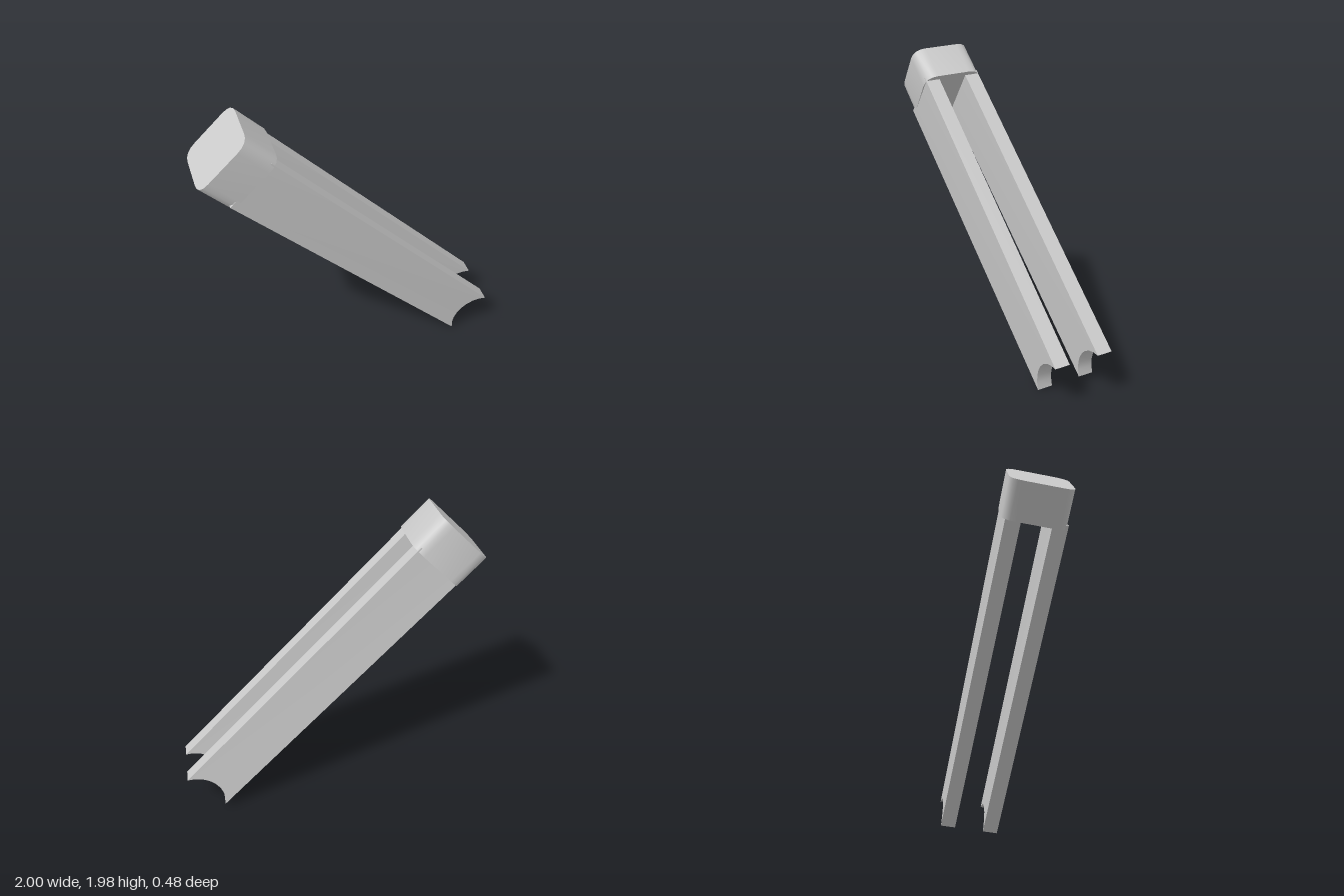
import * as THREE from 'three';
import { toCreasedNormals } from 'three/addons/utils/BufferGeometryUtils.js';

const material = new THREE.MeshStandardMaterial({ color: 0xcccccc });

// Rounded-square cap, extruded along the local x axis
function headGeometry() {
  const a = 0.205, b = 0.215, r = 0.09;
  const s = new THREE.Shape();
  s.moveTo(-a + r, -b);
  s.lineTo(a - r, -b);
  s.quadraticCurveTo(a, -b, a, -b + r);
  s.lineTo(a, b - r);
  s.quadraticCurveTo(a, b, a - r, b);
  s.lineTo(-a + r, b);
  s.quadraticCurveTo(-a, b, -a, b - r);
  s.lineTo(-a, -b + r);
  s.quadraticCurveTo(-a, -b, -a + r, -b);
  const g = new THREE.ExtrudeGeometry(s, { depth: 0.25, bevelEnabled: false, curveSegments: 4 });
  g.rotateY(Math.PI / 2).translate(-0.25, 0, 0);
  return toCreasedNormals(g, 0.8);
}

// Flat prong with a concave arc cut into its tip
function prongGeometry() {
  const half = 0.049, steps = 8, tip = 2.155, sag = 0.09, chord = 0.167;
  // outline: head end top, head end bottom, then the tip arc from bottom to top
  const outline = [[-0.03, 0.18], [-0.03, -0.185]];
  const radius = (chord * chord + sag * sag) / (2 * sag);
  for (let i = 0; i <= steps; i++) {
    const t = (i / steps * 2 - 1) * Math.asin(chord / radius);
    outline.push([tip - sag + radius * (1 - Math.cos(t)), 0.007 + radius * Math.sin(t)]);
  }
  const n = outline.length;
  const pos = [];
  const point = (i, side) => {
    const [x, y] = outline[i % n];
    // the lower corner at the head leans outward a little
    return [x, y, side * half + (i % n === 1 ? 0.012 : 0)];
  };
  const tri = (...pts) => pts.forEach((p) => pos.push(...p));
  // broad faces, fanned from the lower head corner
  for (let i = 2; i < n + 0; i++) {
    const j = i + 1;
    tri(point(1, 1), point(i, 1), point(j, 1));
    tri(point(1, -1), point(j, -1), point(i, -1));
  }
  // narrow edges
  for (let i = 0; i < n; i++) {
    const p = point(i, 1), q = point(i + 1, 1), p2 = point(i, -1), q2 = point(i + 1, -1);
    tri(p, p2, q);
    tri(q, p2, q2);
  }
  const g = new THREE.BufferGeometry();
  g.setAttribute('position', new THREE.Float32BufferAttribute(pos, 3));
  return toCreasedNormals(g, 0.6);
}

export function createModel() {
  const fork = new THREE.Group();
  fork.name = 'fork';

  const head = new THREE.Mesh(headGeometry(), material);
  head.name = 'head';
  fork.add(head);

  const prong = prongGeometry();
  for (const side of [1, -1]) {
    const mesh = new THREE.Mesh(prong, material);
    mesh.name = side > 0 ? 'frontProng' : 'backProng';
    mesh.position.z = side * 0.146;
    fork.add(mesh);
  }

  // Tilt: x runs down the prongs, y across their width, z between them
  const along = new THREE.Vector3(0.712, -0.702, -0.023).normalize();
  const between = new THREE.Vector3(-0.06, -0.09, 1);
  between.addScaledVector(along, -between.dot(along)).normalize();
  const across = new THREE.Vector3().crossVectors(between, along);
  fork.quaternion.setFromRotationMatrix(new THREE.Matrix4().makeBasis(along, across, between));
  fork.position.set(-0.675, 1.642, 0.017);

  const model = new THREE.Group();
  model.name = 'tiltedFork';
  model.add(fork);
  return model;
}
